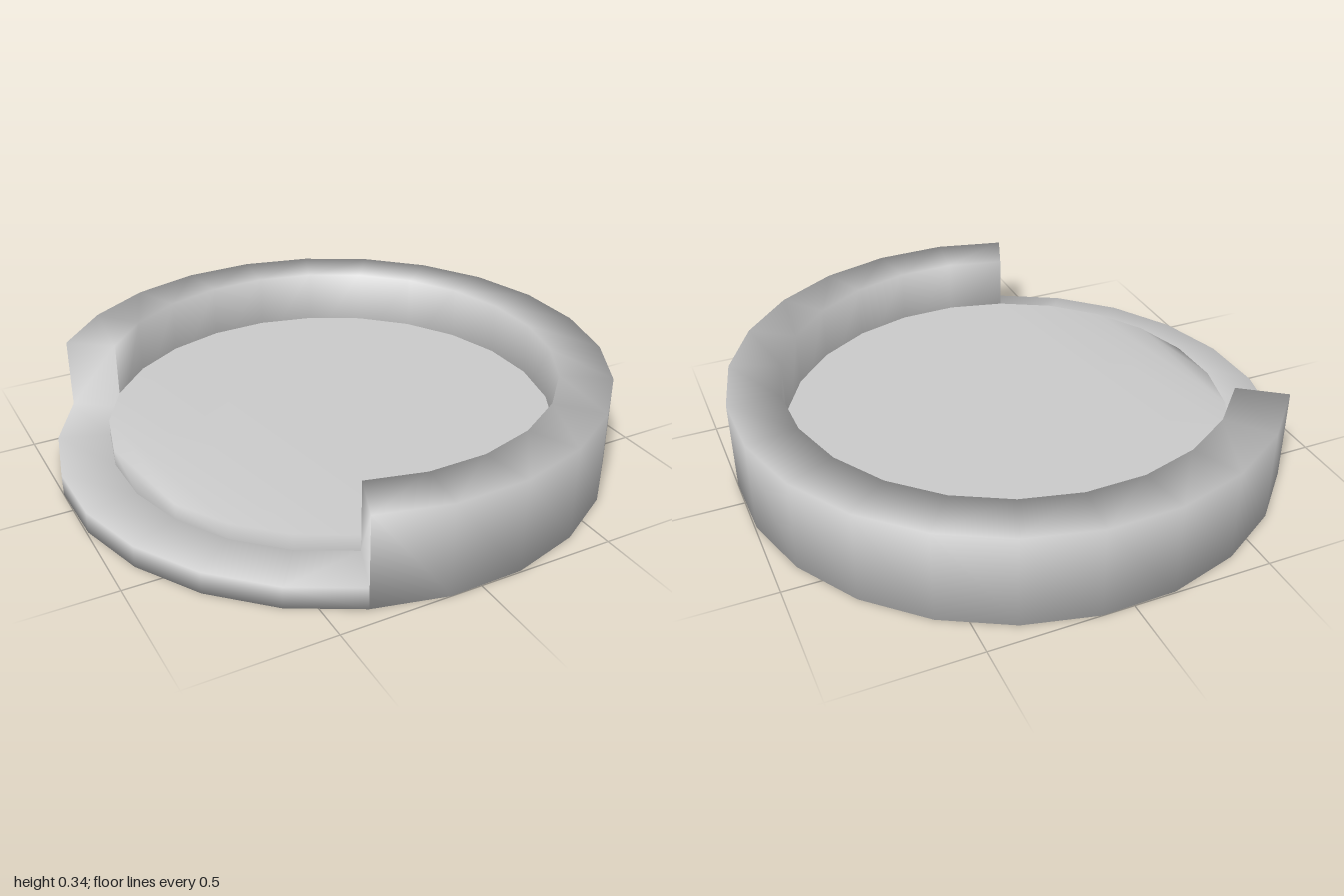
import * as THREE from 'three';
import { mergeVertices } from 'three/addons/utils/BufferGeometryUtils.js';

const SIDES = 24, OPENING = 7;              // the first 7 segments form the low entrance
const START = THREE.MathUtils.degToRad(111.35);
const OUTER = 1.006, INNER = 0.817;
const WALL_Y = 0.34, SILL_Y = 0.08, FLOOR_Y = 0.14;

// Point on the ring at segment corner i
const at = (i, r, y) => {
  const a = START + (i * Math.PI * 2) / SIDES;
  return [r * Math.cos(a), y, r * Math.sin(a)];
};

// Smooth surface from a list of four-cornered faces
function smoothMesh(name, quads, side) {
  const positions = quads.flatMap(([a, b, c, d]) => [...a, ...b, ...c, ...a, ...c, ...d]);
  const raw = new THREE.BufferGeometry();
  raw.setAttribute('position', new THREE.Float32BufferAttribute(positions, 3));
  const geometry = mergeVertices(raw, 1e-4);
  geometry.computeVertexNormals();
  const mesh = new THREE.Mesh(geometry, new THREE.MeshStandardMaterial({ color: 0xcccccc, side }));
  mesh.name = name;
  return mesh;
}

// Ring wall with a low sill across the entrance
function rimQuads() {
  const quads = [];
  for (let i = 0; i < SIDES; i++) {
    const h = i < OPENING ? SILL_Y : WALL_Y, j = (i + 1) % SIDES;
    const in0 = at(i, INNER, 0), in1 = at(j, INNER, 0), out0 = at(i, OUTER, 0), out1 = at(j, OUTER, 0);
    const inTop0 = at(i, INNER, h), inTop1 = at(j, INNER, h);
    const outTop0 = at(i, OUTER, h), outTop1 = at(j, OUTER, h);
    quads.push(
      [out0, outTop0, outTop1, out1],       // outside
      [in0, in1, inTop1, inTop0],           // inside
      [inTop0, inTop1, outTop1, outTop0],   // top
      [in0, out0, out1, in1],               // underside
    );
  }
  // End faces of the high wall at both sides of the entrance
  const end = (i) => [at(i, INNER, SILL_Y), at(i, OUTER, SILL_Y), at(i, OUTER, WALL_Y), at(i, INNER, WALL_Y)];
  quads.push(end(0), end(OPENING).reverse());
  return quads;
}

// Floor pad made of strips across the ring, with its edge exposed at the entrance
function floorQuads() {
  const quads = [];
  const p = (i, y = FLOOR_Y) => at((i + SIDES) % SIDES, INNER, y);
  for (let j = 0; j < SIDES / 2 - 1; j++) {
    quads.push([p(5 + j), p(4 - j), p(3 - j), p(6 + j)]);
  }
  for (let i = 0; i < OPENING; i++) {
    quads.push([p(i, SILL_Y), p(i), p(i + 1), p(i + 1, SILL_Y)]);
  }
  return quads;
}

export function createModel() {
  const group = new THREE.Group();
  group.name = 'roundBed';
  group.add(
    smoothMesh('rim', rimQuads(), THREE.FrontSide),
    smoothMesh('floorPad', floorQuads(), THREE.DoubleSide),
  );
  return group;
}
